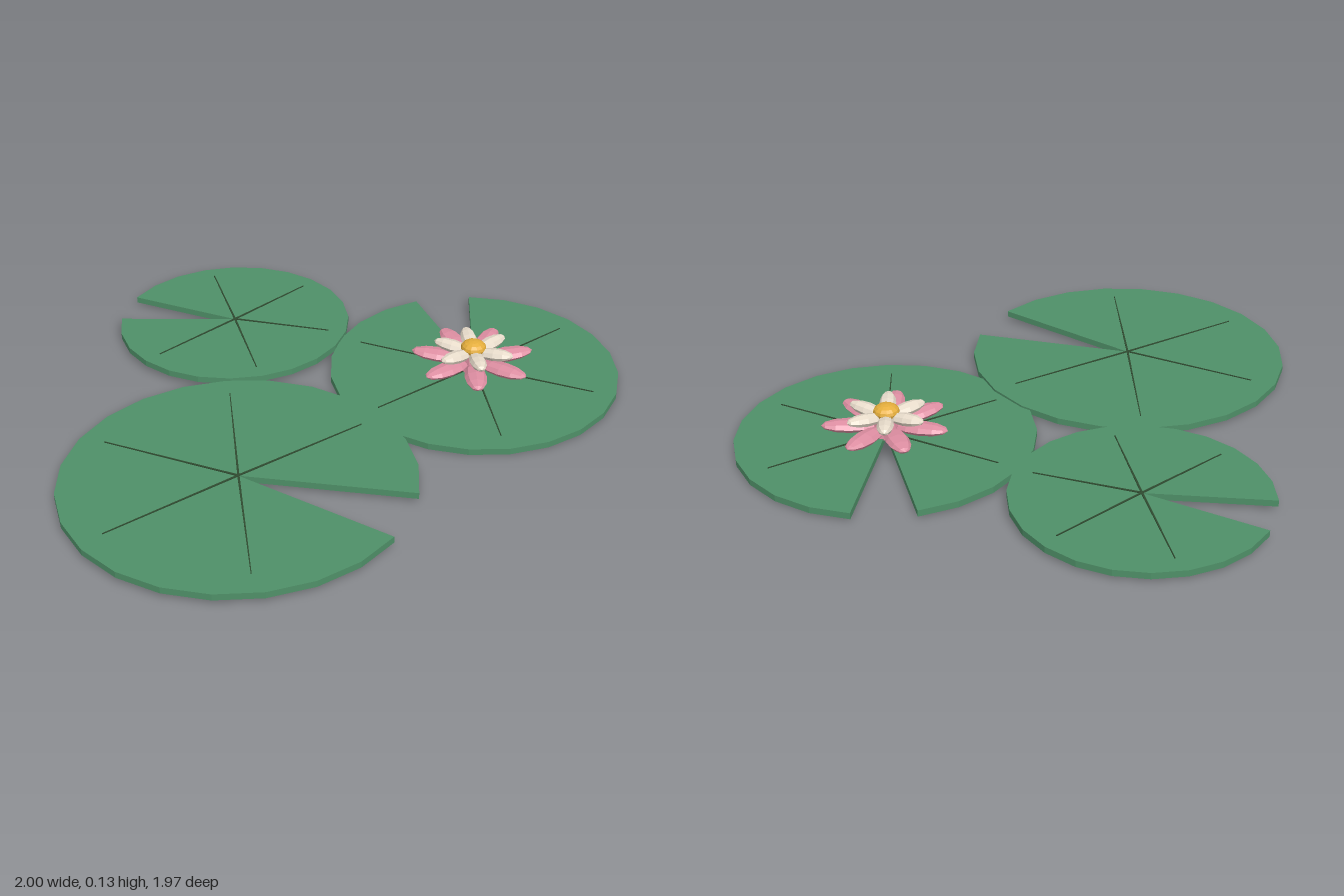
import * as THREE from 'three';

const DEG = Math.PI / 180;
const paint = (color) => new THREE.MeshStandardMaterial({ color, flatShading: true });
const green = paint(0x4f9068), dark = paint(0x2f4a30);
const pink = paint(0xdf8fa3), cream = paint(0xe8dccb), yellow = paint(0xe5ae3c);

function add(parent, name, geometry, material) {
  const mesh = new THREE.Mesh(geometry, material);
  mesh.name = name;
  parent.add(mesh);
  return mesh;
}

// Notched disc with five radiating veins; angles run from +x towards +z
function lilyPad(name, radius, notch) {
  const pad = new THREE.Group();
  pad.name = name;
  const halfNotch = 11.7, sides = 22, thickness = 0.022;
  const outline = [new THREE.Vector2(0, 0)];
  for (let i = 0; i <= sides; i++) {
    const a = (notch + halfNotch + (360 - 2 * halfNotch) * i / sides) * DEG;
    outline.push(new THREE.Vector2(Math.cos(a) * radius, Math.sin(a) * radius));
  }
  const leaf = new THREE.ExtrudeGeometry(new THREE.Shape(outline), { depth: thickness, bevelEnabled: false });
  leaf.rotateX(Math.PI / 2).translate(0, thickness, 0);
  add(pad, 'leaf', leaf, green);

  const length = radius * 0.85;
  for (let k = 0; k < 5; k++) {
    const vein = new THREE.BoxGeometry(length, 0.004, 0.007);
    const p = vein.attributes.position;
    for (let i = 0; i < p.count; i++) if (p.getX(i) > 0) p.setZ(i, p.getZ(i) * 0.4); // taper to the rim
    vein.translate(length / 2, thickness + 0.001, 0);
    add(pad, 'vein', vein, dark).rotation.y = -(notch + 61 + 60.3 * k) * DEG;
  }
  return pad;
}

// Ring of faceted, elongated petals
function petalRing(parent, name, { count, phase, reach, y, size, tilt, material }) {
  for (let k = 0; k < count; k++) {
    const petal = new THREE.SphereGeometry(1, 8, 6).rotateZ(-Math.PI / 2);
    petal.scale(...size).rotateZ(tilt).translate(reach, y, 0);
    add(parent, name, petal, material).rotation.y = -(phase + 360 * k / count) * DEG;
  }
}

export function createModel() {
  const model = new THREE.Group();
  model.name = 'waterLilies';

  // Three pads floating at slightly different heights and tilts
  const pads = [
    ['largePad', 0.572, 34.2, [-0.43, 0.012, 0.41], -0.008],
    ['flowerPad', 0.508, -86.2, [0.491, 0.003, -0.06], 0.005],
    ['smallPad', 0.423, 205.4, [-0.278, 0.013, -0.57], -0.01],
  ];
  for (const [name, radius, notch, position, tilt] of pads) {
    const pad = lilyPad(name, radius, notch);
    pad.position.set(...position);
    pad.rotation.x = tilt;
    model.add(pad);
  }

  // Flower resting on the middle pad
  const flower = new THREE.Group();
  flower.name = 'flower';
  flower.position.set(0.487, 0, -0.06);
  petalRing(flower, 'outerPetal', {
    count: 7, phase: 0, reach: 0.125, y: 0.062, size: [0.094, 0.02, 0.039], tilt: 0.06, material: pink,
  });
  petalRing(flower, 'innerPetal', {
    count: 6, phase: 36, reach: 0.078, y: 0.095, size: [0.068, 0.021, 0.029], tilt: 0.1, material: cream,
  });
  const heart = new THREE.SphereGeometry(1, 12, 8).scale(0.045, 0.026, 0.045);
  add(flower, 'heart', heart, yellow).position.y = 0.107;
  const core = new THREE.CylinderGeometry(0.04, 0.05, 0.075, 10);
  add(flower, 'core', core, pink).position.y = 0.058;
  model.add(flower);
  return model;
}
